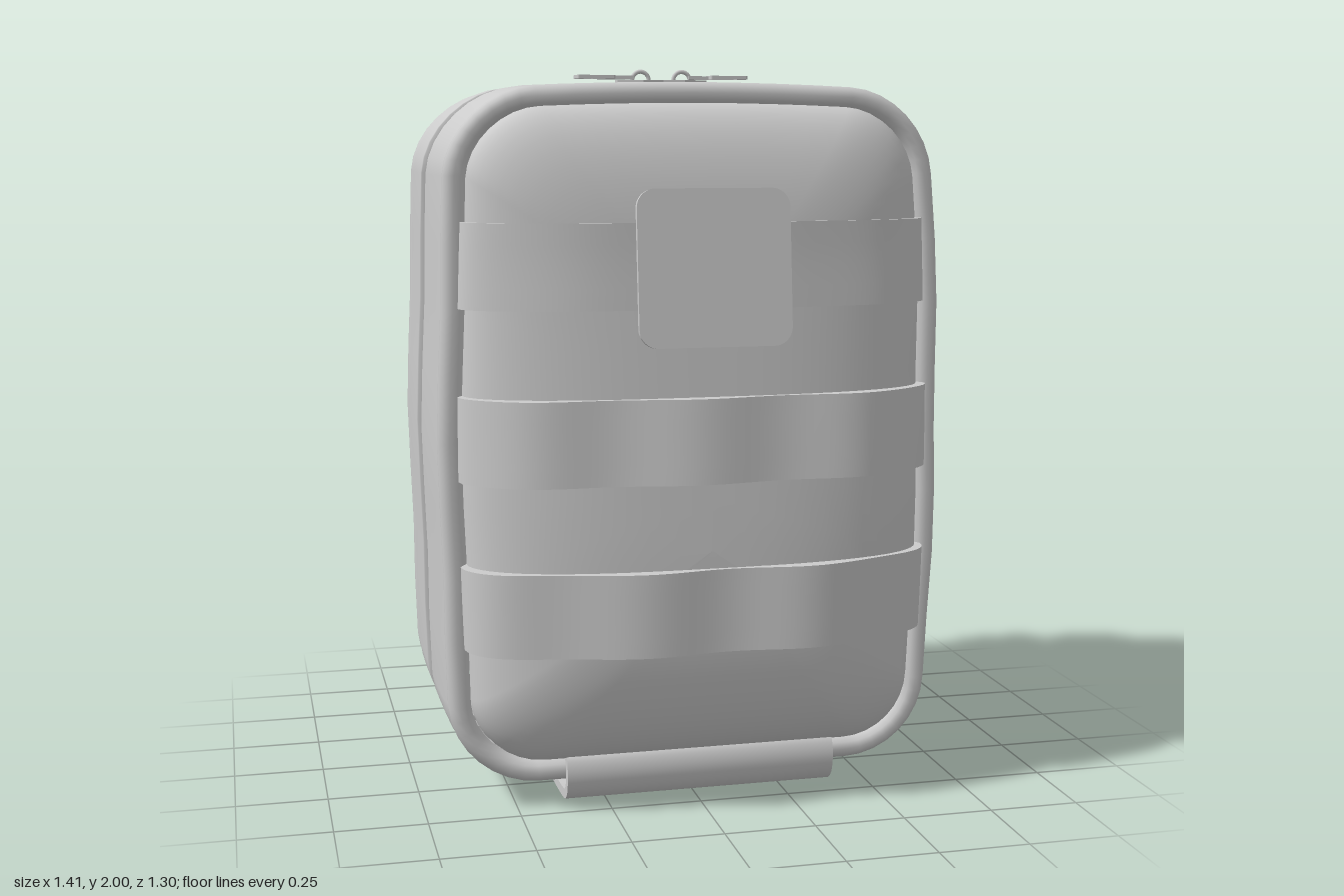
import * as THREE from 'three';
import { toCreasedNormals } from 'three/addons/utils/BufferGeometryUtils.js';

const mat = new THREE.MeshStandardMaterial({ color: 0xcccccc, roughness: 0.8, side: THREE.DoubleSide });
const MID = 0.02; // z of the zip, the plane between both halves

function add(parent, name, geometry, x = 0, y = 0, z = 0) {
  const mesh = new THREE.Mesh(geometry, mat);
  mesh.name = name;
  mesh.position.set(x, y, z);
  parent.add(mesh);
  return mesh;
}

// Sides bow outwards at mid height
const bow = (y) => 1 + 0.055 * (1 - ((y - 0.95) / 0.95) ** 2);

// Rounded rectangle outline, counter-clockwise, with subdivided sides and soft bowing
function outline(hw, y0, y1, r) {
  const pts = [], cy = (y0 + y1) / 2, hh = (y1 - y0) / 2, N = 8;
  const corners = [[1, 1], [-1, 1], [-1, -1], [1, -1]];
  corners.forEach(([sx, sy], c) => {
    const cx = sx * (hw - r), ccy = cy + sy * (hh - r);
    for (let i = 0; i <= N; i++) {
      const a = (c + i / N) * Math.PI / 2;
      pts.push([cx + r * Math.cos(a), ccy + r * Math.sin(a)]);
    }
    const [ex, ey] = pts[pts.length - 1], [nx, ny] = corners[(c + 1) % 4];
    const ang = (c + 1) * Math.PI / 2;
    const tx = nx * (hw - r) + r * Math.cos(ang), ty = cy + ny * (hh - r) + r * Math.sin(ang);
    for (let i = 1; i < N; i++) pts.push([ex + (tx - ex) * i / N, ey + (ty - ey) * i / N]);
  });
  return pts.map(([x, y]) => {
    const top = Math.max(0, y - 1) / 0.95, wave = 0.004 * Math.sin(y * 9 + x * 2);
    return [x * bow(y) + Math.sign(x) * wave * Math.min(1, Math.abs(x) * 2),
      y - 0.025 * top * (x / 0.66) ** 2];
  });
}

// Skin over rings that run from back to front
function loft(rings) {
  const n = rings[0].length, pos = [], idx = [];
  rings.forEach((ring) => ring.forEach((p) => pos.push(...p)));
  for (let i = 0; i < rings.length - 1; i++) {
    for (let j = 0; j < n; j++) {
      const k = (j + 1) % n, a = i * n + j, b = i * n + k;
      idx.push(a, b, b + n, a, b + n, a + n);
    }
  }
  const g = new THREE.BufferGeometry();
  g.setAttribute('position', new THREE.Float32BufferAttribute(pos, 3));
  g.setIndex(idx);
  g.computeVertexNormals();
  return g;
}

const bodyRing = (inset, z) =>
  outline(0.665 - inset, 0.06 + inset, 1.96 - inset, 0.23 - inset).map(([x, y]) => [x, y, z]);

// Padded panel height: swells fast at the edge, then flattens (t = 0 edge, 1 centre)
const swell = (t) => Math.sqrt(1 - (1 - Math.min(1, Math.max(0, t))) ** 3);
const frontDepth = (y) => 0.155 + 0.04 * Math.min(1, Math.max(0, (1.5 - y) / 0.8));
const backDepth = (y) => 0.155 + 0.03 * (1 - ((y - 1) / 0.9) ** 2);
const PAD = 0.6;
const frontZ = (x, y) => 0.42 + frontDepth(y) * swell(1 - Math.abs(x) / (PAD * bow(y)));

function padRings(zAt) {
  const rings = [];
  for (let i = 0; i <= 14; i++) {
    const t = (i / 14) ** 2, s = t * PAD;
    rings.push(outline(PAD - s, 0.13 + s, 1.9 - s, 0.18 * (1 - t)).map(([x, y]) => [x, y, zAt(y, swell(t))]));
  }
  return rings;
}

// Band of even thickness: path of [z, y] points, extruded across x
function ribbon(path, thick, width) {
  const curve = new THREE.SplineCurve(path.map(([z, y]) => new THREE.Vector2(-z, y)));
  const N = 48, a = [], b = [];
  for (let i = 0; i <= N; i++) {
    const p = curve.getPoint(i / N), t = curve.getTangent(i / N);
    const n = new THREE.Vector2(-t.y, t.x).multiplyScalar(thick / 2);
    a.push(p.clone().add(n));
    b.unshift(p.clone().sub(n));
  }
  const g = new THREE.ExtrudeGeometry(new THREE.Shape([...a, ...b]), { depth: width, bevelEnabled: false });
  g.translate(0, 0, -width / 2).rotateY(Math.PI / 2);
  return toCreasedNormals(g, 0.7);
}

function roundedShape(w, h, r, Type = THREE.Shape) {
  const s = new Type(), x = w / 2 - r, y = h / 2 - r;
  s.absarc(x, y, r, 0, Math.PI / 2);
  s.absarc(-x, y, r, Math.PI / 2, Math.PI);
  s.absarc(-x, -y, r, Math.PI, Math.PI * 1.5);
  s.absarc(x, -y, r, Math.PI * 1.5, Math.PI * 2);
  s.closePath();
  return s;
}

// Horizontal plate cut from a shape
const plate = (shape, h) =>
  new THREE.ExtrudeGeometry(shape, { depth: h, bevelEnabled: false }).rotateX(-Math.PI / 2);

export function createModel() {
  const bag = new THREE.Group();
  bag.name = 'bag';

  // Two shell halves with a rolled piping rim, mirrored about the zip
  const half = [[0.025, 0.07], [0.002, 0.07], [0, 0.08], [0, 0.2], [0.003, 0.33], [0.009, 0.38], [0.014, 0.393],
    [0.006, 0.403], [0.006, 0.418], [0.016, 0.432], [0.034, 0.438], [0.052, 0.432], [0.064, 0.415], [0.068, 0.39]];
  add(bag, 'frontShell', loft(half.map(([s, z]) => bodyRing(s, z))));
  add(bag, 'backShell', loft(half.map(([s, z]) => bodyRing(s, 2 * MID - z)).reverse()));
  add(bag, 'zipBand', loft([-0.035, 0.018, MID, 0.022, 0.075].map((z) => bodyRing(z === MID ? 0.019 : 0.014, z))));

  // Padded front and back panels
  add(bag, 'frontPanel', loft(padRings((y, g) => 0.42 + frontDepth(y) * g)));
  add(bag, 'backPanel', loft(padRings((y, g) => -0.38 - backDepth(y) * g).reverse()));

  // Three webbing rows that follow the front panel with a slight ripple
  [[1.48, 0.008, 0.003], [1.025, 0.026, 0.012], [0.57, 0.024, 0.012]].forEach(([cy, lift, ripple], row) => {
    const g = new THREE.BoxGeometry(2, 0.225, 1, 64, 4, 1), p = g.attributes.position;
    for (let i = 0; i < p.count; i++) {
      const u = p.getX(i), y = cy + p.getY(i), outer = p.getZ(i) > 0;
      const x = Math.sin(u * Math.PI / 2) * PAD * bow(y);
      const fade = 1 - u ** 4;
      const z = frontZ(x, y) + (outer ? lift + ripple * Math.sin(x * 14 + row * 2) * fade : -0.025);
      p.setXYZ(i, x * (outer ? 1.025 : 0.98), y, z);
    }
    add(bag, 'webbing', toCreasedNormals(g, 0.7));
  });

  // Square patch, leaning out at its lower edge
  const patch = new THREE.ExtrudeGeometry(roundedShape(0.41, 0.41, 0.05), { depth: 0.015, bevelEnabled: false });
  add(bag, 'patch', toCreasedNormals(patch, 0.7), 0.005, 1.475, 0.597).rotation.x = -0.1;

  // Back straps with folded loop and snap button
  for (const x of [-0.29, 0.28]) {
    const strap = new THREE.Group();
    strap.name = 'backStrap';
    strap.position.x = x;
    bag.add(strap);
    add(strap, 'upperStrap', ribbon([[-0.39, 1.89], [-0.45, 1.875], [-0.52, 1.81], [-0.553, 1.7], [-0.575, 1.45],
      [-0.59, 1], [-0.58, 0.6], [-0.56, 0.36]], 0.018, 0.22));
    add(strap, 'lowerStrap', ribbon([[-0.605, 1.46], [-0.618, 1.3], [-0.618, 1], [-0.603, 0.65], [-0.588, 0.48],
      [-0.6, 0.38], [-0.592, 0.342], [-0.565, 0.34]], 0.02, 0.2));
    add(strap, 'foldedLoop', ribbon([[-0.6, 1.4], [-0.605, 1.46], [-0.624, 1.474], [-0.64, 1.46], [-0.64, 1.385]],
      0.02, 0.22));
    add(strap, 'snapButton', new THREE.SphereGeometry(0.073, 24, 12), 0, 0.505, -0.606).scale.z = 0.33;
  }

  // Sleeve wrapped under the base
  add(bag, 'baseSleeve', ribbon([[0.43, 0.145], [0.462, 0.135], [0.473, 0.09], [0.455, 0.042], [0.4, 0.024],
    [0.2, 0.017], [0, 0.014], [-0.2, 0.014], [-0.36, 0.02], [-0.41, 0.042], [-0.43, 0.09], [-0.42, 0.135],
    [-0.39, 0.145]], 0.027, 0.755).translate(0.008, 0, 0));

  // Twin zip sliders meeting at the middle, each with an open pull tab
  const body = new THREE.Shape([[0, 0.03], [0.06, 0.04], [0.13, 0.018], [0.13, -0.018], [0.06, -0.04], [0, -0.03]]
    .map(([x, y]) => new THREE.Vector2(x, y)));
  const tab = roundedShape(0.11, 0.065, 0.006);
  tab.holes.push(roundedShape(0.06, 0.042, 0.004, THREE.Path));
  for (const turn of [0, Math.PI]) {
    const zip = new THREE.Group();
    zip.name = 'zipSlider';
    zip.position.set(0, 1.94, MID);
    zip.rotation.y = turn;
    bag.add(zip);
    add(zip, 'sliderBody', plate(body, 0.03));
    add(zip, 'sliderBridge', new THREE.TorusGeometry(0.024, 0.006, 8, 16, Math.PI), 0.06, 0.03, 0);
    add(zip, 'pullLink', new THREE.BoxGeometry(0.12, 0.01, 0.018), 0.14, 0.037, 0);
    add(zip, 'pullTab', plate(tab, 0.01), 0.193, 0.033, 0);
  }
  return bag;
}
